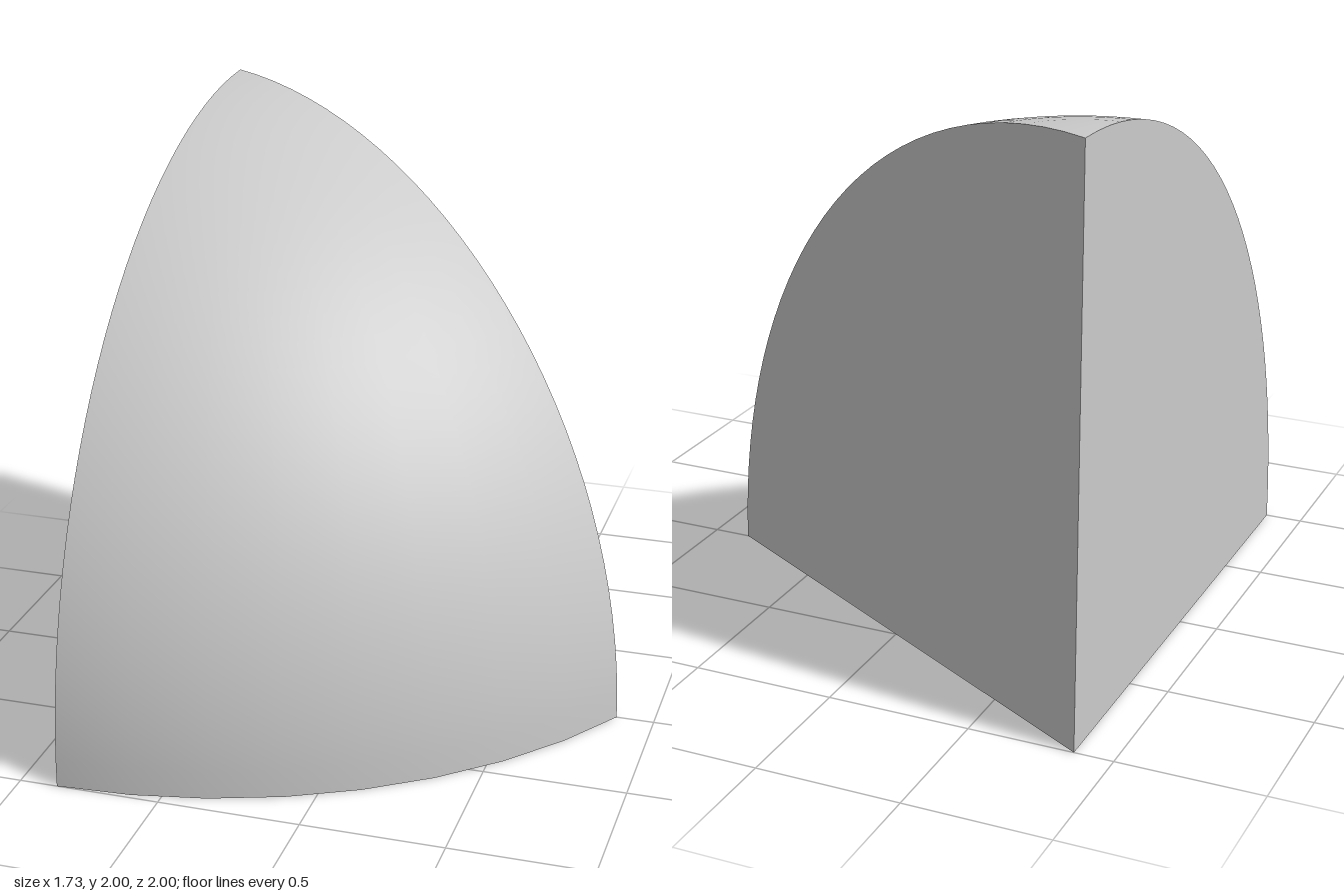
import * as THREE from 'three';

const RADIUS = 2;
const WEDGE = Math.PI / 3;
const QUARTER = Math.PI / 2;
const RISE_STEPS = 32;
const TURN_STEPS = 8;

export function createModel() {
  const group = new THREE.Group();
  group.name = 'sphereWedge';
  const material = new THREE.MeshStandardMaterial({ color: 0xcccccc });

  const add = (name, geometry) => {
    const mesh = new THREE.Mesh(geometry, material);
    mesh.name = name;
    group.add(mesh);
  };

  // Curved outer skin: a quarter arc turned through the wedge angle
  const profile = [];
  for (let i = 0; i <= RISE_STEPS; i++) {
    const a = (i / RISE_STEPS) * QUARTER;
    profile.push(new THREE.Vector2(i === RISE_STEPS ? 0 : RADIUS * Math.cos(a), RADIUS * Math.sin(a)));
  }
  add('outerSkin', new THREE.LatheGeometry(profile, TURN_STEPS, 0, WEDGE));

  // Flat quarter-disc cut faces, each facing away from the wedge
  add('rightCutFace', new THREE.CircleGeometry(RADIUS, RISE_STEPS, 0, QUARTER).rotateY(-QUARTER));
  add('backCutFace', new THREE.CircleGeometry(RADIUS, RISE_STEPS, QUARTER, QUARTER).rotateY(WEDGE + QUARTER));

  // Flat sector underneath
  add('base', new THREE.CircleGeometry(RADIUS, TURN_STEPS, QUARTER - WEDGE, WEDGE).rotateX(QUARTER));

  // Centre the footprint
  group.position.set(-RADIUS * Math.sin(WEDGE) / 2, 0, -RADIUS / 2);
  return group;
}
